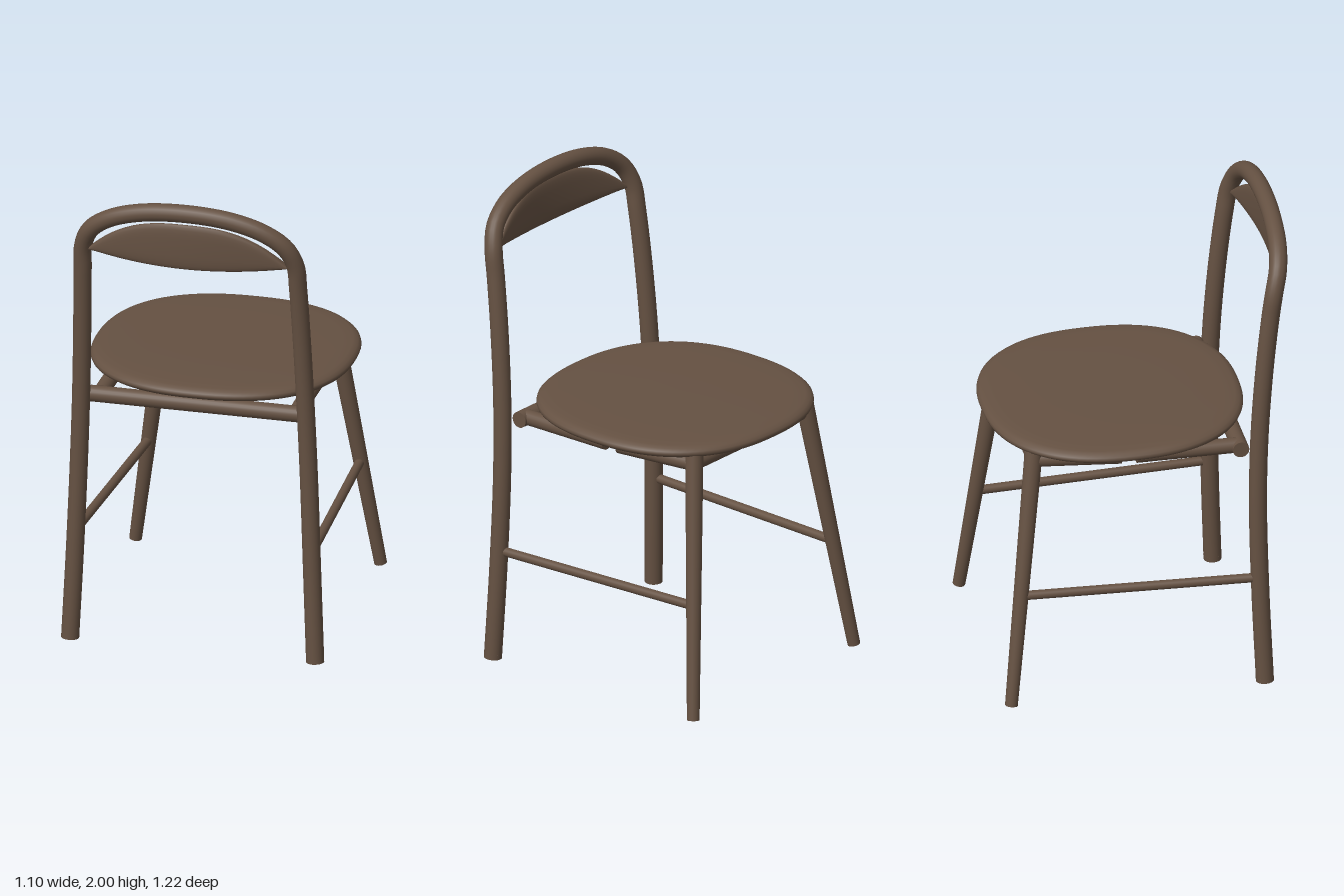
import * as THREE from 'three';

const wood = new THREE.MeshStandardMaterial({ color: 0x655142 });
wood.name = 'brown wood';

const V = (x, y, z) => new THREE.Vector3(x, y, z);

function add(group, name, geometry) {
  const mesh = new THREE.Mesh(geometry, wood);
  mesh.name = name;
  group.add(mesh);
  return mesh;
}

// Round bar from a to b, radius ra at a and rb at b
function bar(group, name, a, b, ra, rb = ra) {
  const dir = b.clone().sub(a);
  const mesh = add(group, name, new THREE.CylinderGeometry(rb, ra, dir.length(), 24));
  mesh.position.copy(a).add(b).multiplyScalar(0.5);
  mesh.quaternion.setFromUnitVectors(V(0, 1, 0), dir.normalize());
  return mesh;
}

// Skin over closed rings that all have the same number of points
function loft(rings) {
  const n = rings[0].length, index = [];
  for (let j = 0; j < rings.length - 1; j++) {
    for (let i = 0; i < n; i++) {
      const a = j * n + i, b = j * n + (i + 1) % n;
      index.push(a, b + n, a + n, a, b, b + n);
    }
  }
  const geometry = new THREE.BufferGeometry().setFromPoints(rings.flat());
  geometry.setIndex(index);
  geometry.computeVertexNormals();
  return geometry;
}

const spow = (v, p) => Math.sign(v) * Math.abs(v) ** p;

// Rounded-square seat pad with a soft rim, sloping slightly to the legs at -z
function seatGeometry() {
  const profile = [[0, 0.029], [0.3, 0.029], [0.6, 0.028], [0.85, 0.025], [0.94, 0.021], [0.975, 0.014],
    [0.995, 0.004], [1, -0.006], [0.992, -0.016], [0.97, -0.024], [0.94, -0.027], [0.6, -0.027], [0, -0.027]];
  const n = 96;
  return loft(profile.map(([s, h]) => Array.from({ length: n }, (_, i) => {
    const a = i / n * Math.PI * 2;
    const x = 0.54 * s * spow(Math.cos(a), 2 / 2.35);
    const z = -0.068 + 0.533 * s * spow(Math.sin(a), 2 / 2.35);
    return V(x, 1.117 + 0.012 * z + h, z);
  })));
}

// Curved crescent panel that fills the arch
function panelGeometry() {
  const rings = [], n = 24, steps = 40;
  for (let j = 0; j <= steps; j++) {
    const u = j / steps * 2 - 1, k = Math.abs(u);
    const top = 1.92 - 0.16 * k ** 2.6, bottom = 1.725 + 0.025 * k * k;
    rings.push(Array.from({ length: n }, (_, i) => {
      const a = i / n * Math.PI * 2;
      return V(u * 0.415,
        (top + bottom) / 2 + (top - bottom) / 2 * spow(Math.cos(a), 0.7),
        0.588 - 0.055 * k * k + 0.017 * spow(Math.sin(a), 0.7));
    }));
  }
  return loft(rings);
}

export function createModel() {
  const chair = new THREE.Group();
  chair.name = 'chair';

  add(chair, 'seat', seatGeometry());
  add(chair, 'backrestPanel', panelGeometry());

  // One bent tube makes both rear legs and the arch
  const half = [
    V(0.514, 0, 0.467), V(0.497, 0.4, 0.452), V(0.482, 0.8, 0.445), V(0.471, 1.1, 0.453),
    V(0.461, 1.4, 0.475), V(0.452, 1.65, 0.503), V(0.445, 1.76, 0.52), V(0.408, 1.842, 0.543),
    V(0.325, 1.904, 0.56), V(0.19, 1.947, 0.57)];
  const mirrored = half.map(p => V(-p.x, p.y, p.z)).reverse();
  const path = new THREE.CatmullRomCurve3([...half, V(0, 1.963, 0.574), ...mirrored]);
  add(chair, 'backFrame', new THREE.TubeGeometry(path, 160, 0.037, 20));

  // Rails under the seat
  bar(chair, 'backRail', V(-0.45, 1.047, 0.382), V(0.45, 1.047, 0.382), 0.034);
  bar(chair, 'frontRail', V(-0.355, 1.05, -0.455), V(0.355, 1.05, -0.455), 0.032);

  for (const [side, s] of [['left', 1], ['right', -1]]) {
    // Foot cap closes the tube
    bar(chair, side + 'FootCap', V(s * 0.514, 0, 0.467), V(s * 0.513, 0.02, 0.466), 0.037);

    // Splayed, tapered front leg
    bar(chair, side + 'FrontLeg', V(s * 0.514, 0.005, -0.585), V(s * 0.352, 1.09, -0.458), 0.026, 0.037);

    // Side stretcher
    bar(chair, side + 'Stretcher', V(s * 0.494, 0.47, 0.45), V(s * 0.444, 0.47, -0.53), 0.019);

    // Side rail in two pieces joined by a thin neck
    const back = V(s * 0.41, 1.05, 0.37), front = V(s * 0.355, 1.05, -0.455);
    const mid = V(s * 0.405, 1.055, -0.075);
    bar(chair, side + 'RailBack', back, V(s * 0.408, 1.05, -0.045), 0.032);
    bar(chair, side + 'RailNeck', V(s * 0.408, 1.055, -0.04), V(s * 0.402, 1.055, -0.11), 0.018);
    bar(chair, side + 'RailFront', V(s * 0.402, 1.05, -0.105), front, 0.032);
    const knob = add(chair, side + 'RailJoint', new THREE.SphereGeometry(0.024, 16, 10));
    knob.position.copy(mid);
  }
  return chair;
}
